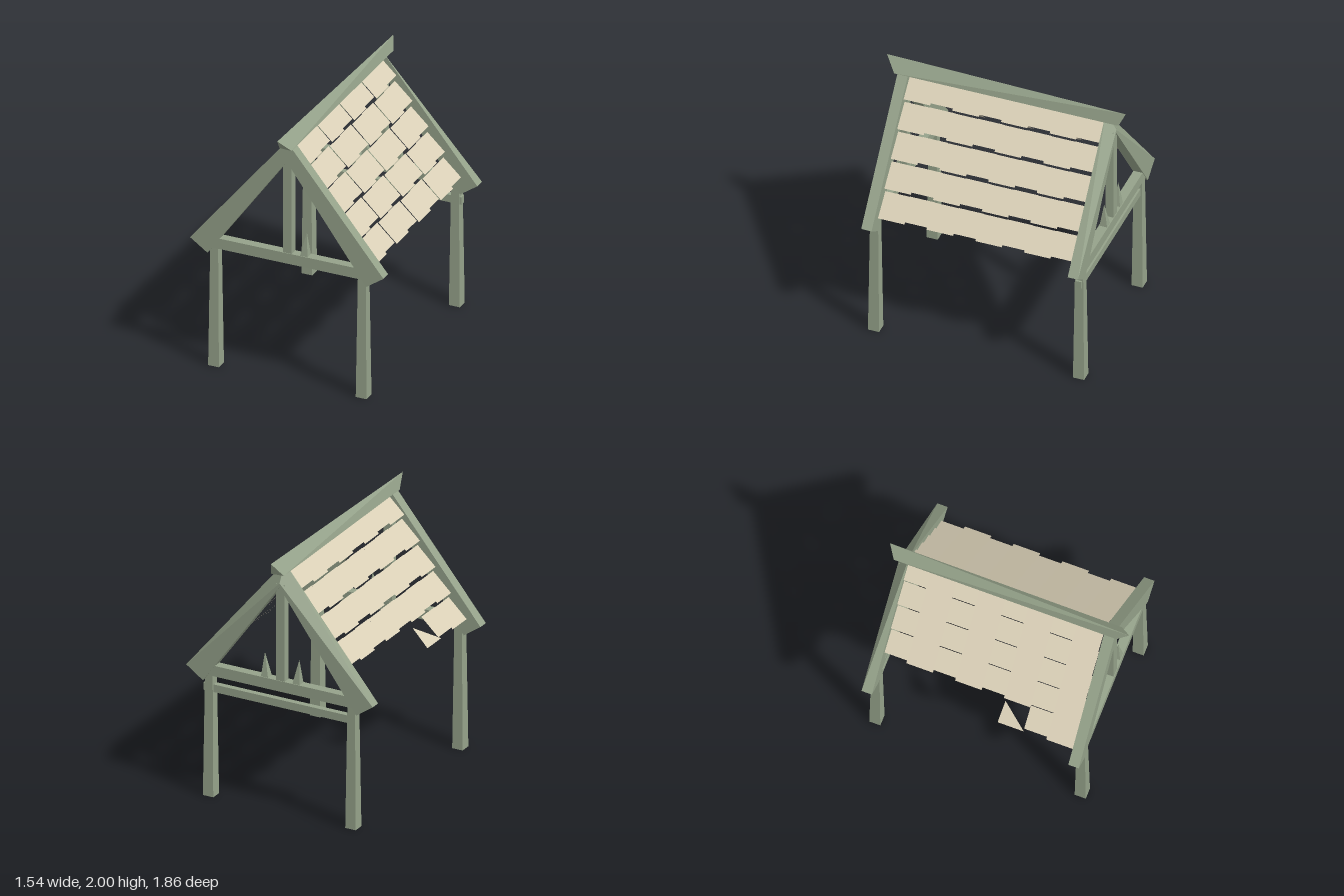
import * as THREE from 'three';

const wood = new THREE.MeshStandardMaterial({ color: 0x95a28a, flatShading: true, side: THREE.DoubleSide });
const shingle = new THREE.MeshStandardMaterial({ color: 0xd9cfb6, flatShading: true, side: THREE.DoubleSide });

// Flat-shaded geometry from a list of corner points, three per triangle
function fromCorners(points, sx = 1) {
  const out = [];
  for (let i = 0; i < points.length; i += 3) {
    const tri = points.slice(i, i + 3);
    if (sx < 0) tri.reverse();
    tri.forEach(([x, y, z]) => out.push(x * sx, y, z));
  }
  const geo = new THREE.BufferGeometry();
  geo.setAttribute('position', new THREE.Float32BufferAttribute(out, 3));
  geo.computeVertexNormals();
  return geo;
}

// Solid between a front loop and a back loop (counter-clockwise seen from +z)
function loft(front, back, sx = 1) {
  const n = front.length, pts = [];
  for (let i = 0; i < n; i++) {
    const j = (i + 1) % n;
    pts.push(front[i], back[i], back[j], front[i], back[j], front[j]);
  }
  for (let i = 1; i < n - 1; i++) {
    pts.push(front[0], front[i], front[i + 1], back[0], back[i + 1], back[i]);
  }
  return fromCorners(pts, sx);
}

export function createModel() {
  const model = new THREE.Group();
  model.name = 'shelter';

  const add = (parent, name, geo, mat, x = 0, y = 0, z = 0) => {
    const mesh = new THREE.Mesh(geo, mat);
    mesh.name = name;
    mesh.position.set(x, y, z);
    parent.add(mesh);
    return mesh;
  };

  // Tapered legs, open underneath
  const postGeo = new THREE.CylinderGeometry(0.063 / Math.SQRT2, 0.086 / Math.SQRT2, 0.98, 4, 1, true);
  postGeo.rotateY(Math.PI / 4);
  for (const z of [0.782, -0.802]) {
    add(model, 'leftPost', postGeo, wood, 0.592, 0.49, z);
    add(model, 'rightPost', postGeo, wood, -0.583, 0.49, z);
  }

  // Broken splinter with its tip leaning outwards
  const splinterGeo = (side) => {
    const geo = new THREE.ConeGeometry(0.06 / Math.SQRT2, 0.19, 4).rotateY(Math.PI / 4);
    const p = geo.attributes.position;
    for (let i = 0; i < p.count; i++) p.setX(i, p.getX(i) + side * 0.063 * (p.getY(i) + 0.095));
    return geo;
  };

  // Gable frames: rafters, tie beam, king post, splinters
  const gables = [
    { name: 'frontGable', zf: 0.825, zb: 0.745, backApex: 1.955, splinters: [1] },
    { name: 'backGable', zf: -0.77, zb: -0.85, backApex: 1.82, splinters: [1, -1] },
  ];
  for (const { name, zf, zb, backApex, splinters } of gables) {
    const gable = new THREE.Group();
    gable.name = name;
    model.add(gable);
    const zc = (zf + zb) / 2;
    const loop = (z, apex) => [[-0.77, 1.008, z], [-0.632, 0.912, z], [0, 1.79, z], [0, apex, z]];
    for (const side of [1, -1]) {
      add(gable, 'rafter', loft(loop(zf, 1.955), loop(zb, backApex), side), wood);
    }
    add(gable, 'tieBeam', new THREE.BoxGeometry(1.2, 0.084, 0.07), wood, 0, 1.002, zc);
    add(gable, 'kingPost', new THREE.BoxGeometry(0.07, 0.78, 0.06), wood, 0, 1.42, zc);
    for (const s of splinters) add(gable, 'splinter', splinterGeo(s), wood, s * 0.13, 1.135, zc);
  }

  // Lower rail across the back
  add(model, 'backRail', new THREE.BoxGeometry(1.19, 0.06, 0.045), wood, 0.045, 0.855, -0.802);

  // Ridge beam with a sharp top edge running slightly askew
  add(model, 'ridgeBeam', loft(
    [[-0.05, 1.9, 0.842], [0.05, 1.9, 0.848], [-0.025, 2, 0.932]],
    [[-0.05, 1.9, -0.875], [0.05, 1.9, -0.885], [0.025, 2, -0.932]],
  ), wood);

  // Shingles: wide ones overlap the narrow ones set between them
  const tileGeo = (side, row, wide, z0, z1) => {
    const dx = -0.1285 * row, dy = 0.1785 * row;
    const [xb, yb, xt, yt] = wide ? [0.66, 1.05, 0.512, 1.192] : [0.64, 1.054, 0.5, 1.185];
    const a = [xb + dx, yb + dy, z1], b = [xb + dx, yb + dy, z0];
    const c = [xt + dx, yt + dy, z0], d = [xt + dx, yt + dy, z1];
    return fromCorners([a, b, c, a, c, d], side);
  };
  for (const side of [1, -1]) {
    const roof = new THREE.Group();
    roof.name = side > 0 ? 'leftShingles' : 'rightShingles';
    model.add(roof);
    for (let row = 0; row < 5; row++) {
      for (let i = 0; i < 8; i++) {
        // most of the lowest right row has fallen away
        if (side < 0 && row === 0 && i > 1) continue;
        const wide = i % 2 === 0;
        const z1 = 0.738 - Math.floor(i / 2) * 0.376 - (wide ? 0 : 0.188);
        const z0 = Math.max(z1 - (wide ? 0.205 : 0.195), -0.77);
        add(roof, 'shingle', tileGeo(side, row, wide, z0, z1), shingle);
      }
    }
  }
  add(model, 'brokenShingle',
    fromCorners([[0.66, 1.05, 0.36], [0.66, 1.05, 0.158], [0.53, 1.178, 0.17]], -1), shingle);

  return model;
}
